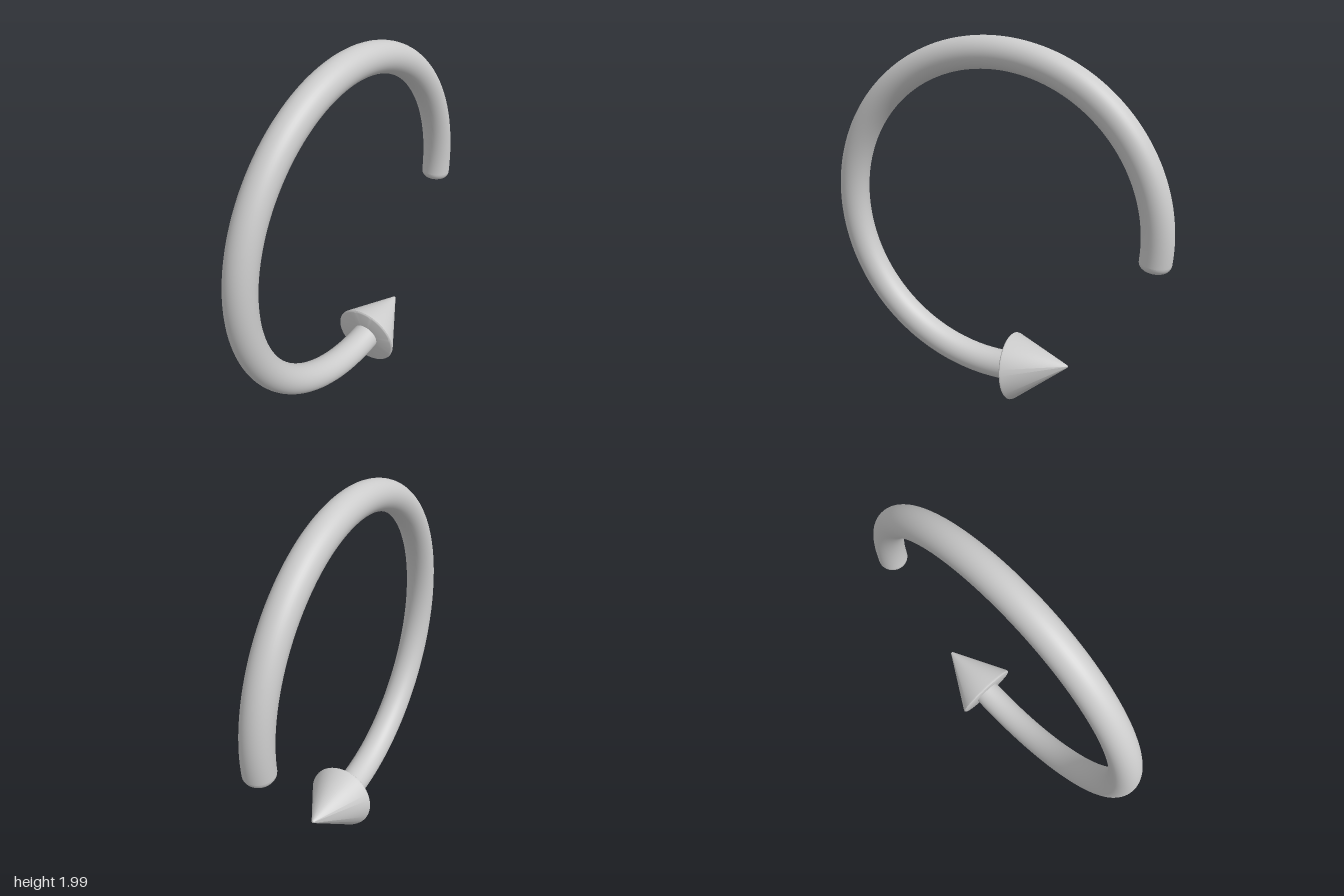
import * as THREE from 'three';
import { toCreasedNormals } from 'three/addons/utils/BufferGeometryUtils.js';

const RING = 0.87, TUBE = 0.08, CENTER_Y = 1.05;
const START = THREE.MathUtils.degToRad(-4.5); // free end, at the back
const END = THREE.MathUtils.degToRad(278);    // where the arrowhead begins

// Position on the ring's centre line
const onRing = (t) => new THREE.Vector3(0, CENTER_Y + RING * Math.sin(t), -RING * Math.cos(t));

export function createModel() {
  const group = new THREE.Group();
  const material = new THREE.MeshStandardMaterial({ color: 0xcccccc });
  const add = (name, geometry) => {
    const mesh = new THREE.Mesh(geometry, material);
    mesh.name = name;
    group.add(mesh);
    return mesh;
  };

  // Round bar bent into an open ring in the y-z plane
  const bar = new THREE.TorusGeometry(RING, TUBE, 40, 160, END - START);
  bar.rotateZ(START).rotateY(Math.PI / 2);
  add('curvedShaft', bar).position.y = CENTER_Y;

  // Softly rounded free end
  const fillet = 0.04, capProfile = [];
  for (let i = 0; i <= 8; i++) {
    const a = (i / 8) * Math.PI / 2;
    capProfile.push(new THREE.Vector2(TUBE - fillet + fillet * Math.cos(a), fillet * Math.sin(a)));
  }
  capProfile.push(new THREE.Vector2(0, fillet + 0.001));
  const cap = add('shaftEnd', new THREE.LatheGeometry(capProfile, 40));
  cap.position.copy(onRing(START));
  cap.rotation.x = Math.PI + START;

  // Arrowhead: cone with a small bevelled rim and blunt tip
  const headProfile = [
    [0, 0], [0.178, 0], [0.184, 0.003], [0.187, 0.008], [0.185, 0.016],
    [0.011, 0.325], [0.007, 0.332], [0, 0.335],
  ].map(([r, y]) => new THREE.Vector2(r, y));
  const head = new THREE.LatheGeometry(headProfile, 64);
  // Lean the tip inward so the cone follows the bend
  const p = head.attributes.position;
  for (let i = 0; i < p.count; i++) p.setZ(i, p.getZ(i) + 0.115 * p.getY(i));
  const arrow = add('arrowhead', toCreasedNormals(head, 0.6));
  arrow.position.copy(onRing(END));
  arrow.rotation.x = END - 2 * Math.PI;

  return group;
}
